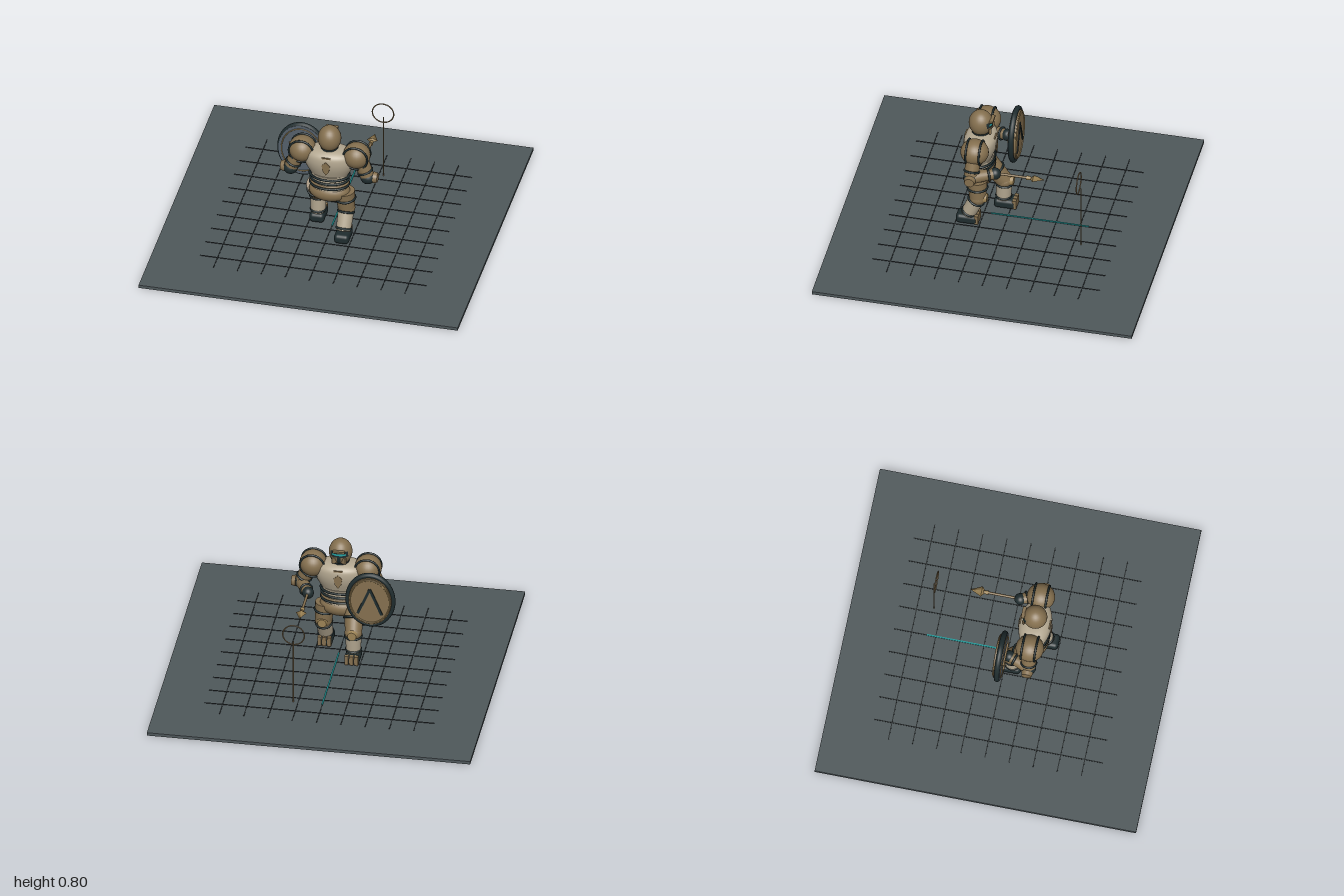
import * as THREE from 'three';
import { RoundedBoxGeometry } from 'three/addons/geometries/RoundedBoxGeometry.js';

const mat = (name, color, side = THREE.FrontSide) => {
  const m = new THREE.MeshStandardMaterial({ color, side });
  m.name = name;
  return m;
};
const V = (x, y, z) => new THREE.Vector3(x, y, z);

export function createModel() {
  const root = new THREE.Group();
  const bronze = mat('bronze', 0x85704f);
  const brass = mat('brass', 0x9c8355);
  const cream = mat('cream plate', 0xb3a790);
  const dark = mat('dark joint', 0x1f2c2e);
  const slate = mat('slate floor', 0x4f585b);
  const steel = mat('shield steel', 0x55606a);
  const lineMat = mat('floor line', 0x202526);
  const teal = mat('teal glow', 0x1f9a9a);

  const add = (parent, name, geo, material, pos = [0, 0, 0], scale = [1, 1, 1], rot = [0, 0, 0]) => {
    const m = new THREE.Mesh(geo, material);
    m.name = name;
    m.position.set(...pos);
    m.scale.set(...scale);
    m.rotation.set(...rot);
    parent.add(m);
    return m;
  };
  const group = (name, parent = root) => {
    const g = new THREE.Group();
    g.name = name;
    parent.add(g);
    return g;
  };
  const ball = (p, name, m, pos, r) => add(p, name, new THREE.SphereGeometry(1, 28, 18), m, pos, r);
  const box = (p, name, m, pos, size, rot) => add(p, name, new THREE.BoxGeometry(...size), m, pos, [1, 1, 1], rot);
  const aim = (mesh, from, to, axis) =>
    mesh.quaternion.setFromUnitVectors(axis, to.clone().sub(from).normalize());
  // tapered limb between two points
  const limb = (p, name, m, a, b, ra, rb) => {
    const mid = a.clone().add(b).multiplyScalar(0.5);
    const mesh = add(p, name, new THREE.CylinderGeometry(rb, ra, a.distanceTo(b), 24), m, mid.toArray());
    aim(mesh, a, b, V(0, 1, 0));
  };
  // ring around a limb at fraction t
  const cuff = (p, name, m, a, b, t, r, tube) => {
    const mesh = add(p, name, new THREE.TorusGeometry(r, tube, 8, 28), m, a.clone().lerp(b, t).toArray());
    aim(mesh, a, b, V(0, 0, 1));
  };

  // floor with inlaid lines and a glowing sight line
  const floor = group('floor');
  box(floor, 'slab', slate, [0, 0.01, 0], [2, 0.02, 2]);
  for (let i = -4; i <= 4; i++) {
    box(floor, 'crossLine', lineMat, [0, 0.0215, i * 0.15], [1.42, 0.003, 0.006]);
    box(floor, 'lengthLine', lineMat, [i * 0.15, 0.0215, 0], [0.006, 0.003, 1.42]);
  }
  box(floor, 'sightLine', teal, [0, 0.024, -0.2], [0.009, 0.004, 0.61]);

  // target ring on a pole
  const target = group('target');
  add(target, 'pole', new THREE.CylinderGeometry(0.004, 0.004, 0.43, 10), bronze, [0.18, 0.235, -0.497]);
  add(target, 'ring', new THREE.TorusGeometry(0.067, 0.004, 8, 40), bronze, [0.18, 0.49, -0.483]);

  const body = group('armouredFigure');
  const Z = 0.17;

  // torso
  const prof = [[0, 0.435], [0.1, 0.435], [0.12, 0.47], [0.152, 0.53], [0.162, 0.58], [0.148, 0.62], [0.09, 0.645], [0, 0.65]];
  const spline = new THREE.SplineCurve(prof.slice(1).map(q => new THREE.Vector2(...q)));
  add(body, 'chestPlate', new THREE.LatheGeometry([new THREE.Vector2(0, 0.435), ...spline.getPoints(28)], 40), cream,
    [0, 0, Z], [1, 1, 0.62]);
  add(body, 'waist', new THREE.CylinderGeometry(0.113, 0.113, 0.1, 36), cream, [0, 0.42, Z], [1, 1, 0.72]);
  [[0.455, 0.122, dark], [0.425, 0.117, dark], [0.405, 0.116, bronze], [0.39, 0.12, dark]].forEach(([y, r, m]) =>
    add(body, 'waistBand', new THREE.TorusGeometry(r, 0.008, 8, 40), m, [0, y, Z], [1, 0.72, 1], [Math.PI / 2, 0, 0]));
  ball(body, 'pelvis', bronze, [0, 0.335, Z], [0.128, 0.068, 0.088]);

  // badge plates on both sides of the chest
  const badge = new THREE.Shape([[0, 0.048], [0.026, 0.022], [0.02, -0.018], [0, -0.045], [-0.02, -0.018], [-0.026, 0.022]]
    .map(q => new THREE.Vector2(...q)));
  const badgeGeo = new THREE.ExtrudeGeometry(badge, { depth: 0.008, bevelEnabled: false });
  add(body, 'backBadge', badgeGeo, bronze, [0, 0.55, 0.265]);
  add(body, 'frontBadge', badgeGeo, bronze, [0, 0.55, 0.075], [1, 1, 1], [0, Math.PI, 0]);
  for (const s of [-1, 1]) box(body, 'collarBar', bronze, [0, 0.62, Z + s * 0.09], [0.055, 0.008, 0.012]);

  // head with visor
  const head = group('head', body);
  head.position.set(0, 0.714, 0.17);
  add(head, 'neck', new THREE.CylinderGeometry(0.05, 0.06, 0.06, 24), dark, [0, -0.07, 0]);
  ball(head, 'helmet', bronze, [0, 0, 0], [0.072, 0.084, 0.074]);
  const facePatch = (name, m, width, top, height, grow) =>
    add(head, name, new THREE.SphereGeometry(1, 24, 8, Math.PI * 1.5 - width / 2, width, top, height), m,
      [0, 0, 0], [0.072 + grow, 0.084 + grow, 0.074 + grow]);
  facePatch('visor', dark, 1.7, 1.2, 0.42, 0.002);
  facePatch('mouthSlot', dark, 0.3, 1.55, 0.75, 0.002);
  facePatch('eyeSlit', teal, 1.2, 1.35, 0.12, 0.004);
  box(head, 'brow', bronze, [0, 0.035, -0.072], [0.075, 0.012, 0.022]);
  for (const s of [-1, 1]) box(head, 'cheekGuard', bronze, [s * 0.03, -0.03, -0.062], [0.03, 0.04, 0.015], [0, s * 0.45, 0]);

  // shoulders and arms
  for (const s of [-1, 1]) {
    const arm = group(s > 0 ? 'leftArm' : 'rightArm', body);
    ball(arm, 'shoulder', bronze, [s * 0.17, 0.613, Z], [0.084, 0.081, 0.087]);
    for (const dz of [-0.042, 0.042])
      add(arm, 'shoulderBand', new THREE.TorusGeometry(0.076, 0.0065, 8, 36), dark, [s * 0.17, 0.613, Z + dz]);
    const sh = V(s * 0.19, 0.59, Z), elbow = V(s * 0.242, 0.468, 0.178);
    const hand = s > 0 ? V(0.18, 0.475, 0.04) : V(-0.2, 0.485, 0.05);
    limb(arm, 'upperArm', bronze, sh, elbow, 0.05, 0.042);
    cuff(arm, 'upperArmBand', dark, sh, elbow, 0.68, 0.045, 0.007);
    ball(arm, 'elbow', dark, elbow.toArray(), [0.046, 0.043, 0.046]);
    add(arm, 'elbowDisc', new THREE.CylinderGeometry(0.03, 0.036, 0.026, 24), bronze,
      [s * 0.29, 0.47, 0.175], [1, 1, 1], [0, 0, -s * Math.PI / 2]);
    limb(arm, 'forearm', bronze, elbow, hand, 0.042, 0.032);
    cuff(arm, 'wristBand', dark, elbow, hand, 0.72, 0.037, 0.007);
    ball(arm, 'hand', dark, hand.toArray(), [0.036, 0.038, 0.036]);
  }

  // legs: the left one trails, the right one strides forward
  const legs = [
    ['leftLeg', V(0.095, 0.34, 0.17), V(0.105, 0.215, 0.165), V(0.1, 0.085, 0.225), 0.23],
    ['rightLeg', V(-0.09, 0.34, 0.14), V(-0.1, 0.215, 0.045), V(-0.1, 0.085, 0.05), 0.037],
  ];
  for (const [name, hip, knee, ankle, footZ] of legs) {
    const leg = group(name, body);
    const x = ankle.x;
    limb(leg, 'thigh', bronze, hip, knee, 0.062, 0.052);
    cuff(leg, 'thighBand', dark, hip, knee, 0.42, 0.06, 0.007);
    ball(leg, 'knee', bronze, knee.toArray(), [0.054, 0.045, 0.052]);
    add(leg, 'kneeCap', new THREE.CylinderGeometry(0.027, 0.034, 0.02, 20), brass,
      [knee.x, knee.y + 0.005, knee.z - 0.05], [1, 1, 1], [-Math.PI / 2, 0, 0]);
    limb(leg, 'shin', cream, knee, ankle, 0.05, 0.046);
    cuff(leg, 'kneeBand', dark, knee, ankle, 0.17, 0.05, 0.007);
    cuff(leg, 'ankleBand', dark, knee, ankle, 0.9, 0.044, 0.008);
    add(leg, 'boot', new RoundedBoxGeometry(0.094, 0.064, 0.135, 4, 0.024), dark, [x, 0.054, footZ]);
    for (const i of [-1, 0, 1])
      box(leg, 'toePlate', bronze, [x + i * 0.03, 0.06, footZ - 0.062], [0.024, 0.06, 0.024]);
  }

  // spear
  const spear = group('spear', body);
  spear.position.set(0.18, 0.478, 0);
  spear.rotation.x = -Math.PI / 2; // its tip points forward along -z
  add(spear, 'shaft', new THREE.CylinderGeometry(0.008, 0.008, 0.27, 14), bronze, [0, 0.065, 0]);
  add(spear, 'collar', new THREE.CylinderGeometry(0.011, 0.014, 0.025, 14), brass, [0, 0.17, 0]);
  add(spear, 'tip', new THREE.ConeGeometry(0.034, 0.07, 4), brass, [0, 0.235, 0], [1, 1, 0.45]);
  add(spear, 'tipBase', new THREE.ConeGeometry(0.034, 0.025, 4), brass, [0, 0.1875, 0], [1, 1, 0.45], [Math.PI, 0, 0]);

  // oval shield
  const shield = group('shield', body);
  shield.position.set(-0.213, 0.49, 0);
  const oval = group('shieldOval', shield);
  oval.scale.set(0.82, 1, 1);
  const disc = (r, d) => new THREE.CylinderGeometry(r, r, d, 56).rotateX(Math.PI / 2);
  add(oval, 'shieldBack', disc(0.175, 0.02), steel, [0, 0, 0.008]);
  add(oval, 'rim', new THREE.TorusGeometry(0.172, 0.017, 12, 56), dark);
  add(oval, 'innerRing', new THREE.TorusGeometry(0.152, 0.004, 8, 56), brass, [0, 0, 0.019]);
  add(oval, 'shieldFace', disc(0.162, 0.02), bronze, [0, 0, -0.014]);
  add(oval, 'faceRing', new THREE.TorusGeometry(0.15, 0.005, 8, 56), brass, [0, 0, -0.025]);
  for (const s of [-1, 1])
    box(shield, 'chevronBar', dark, [s * 0.037, 0, -0.026], [0.016, 0.19, 0.008], [0, 0, s * 0.4]);
  for (const y of [-0.03, 0.045])
    box(shield, 'armStrap', bronze, [0.0, y, 0.028], [0.15, 0.014, 0.012]);

  return root;
}
